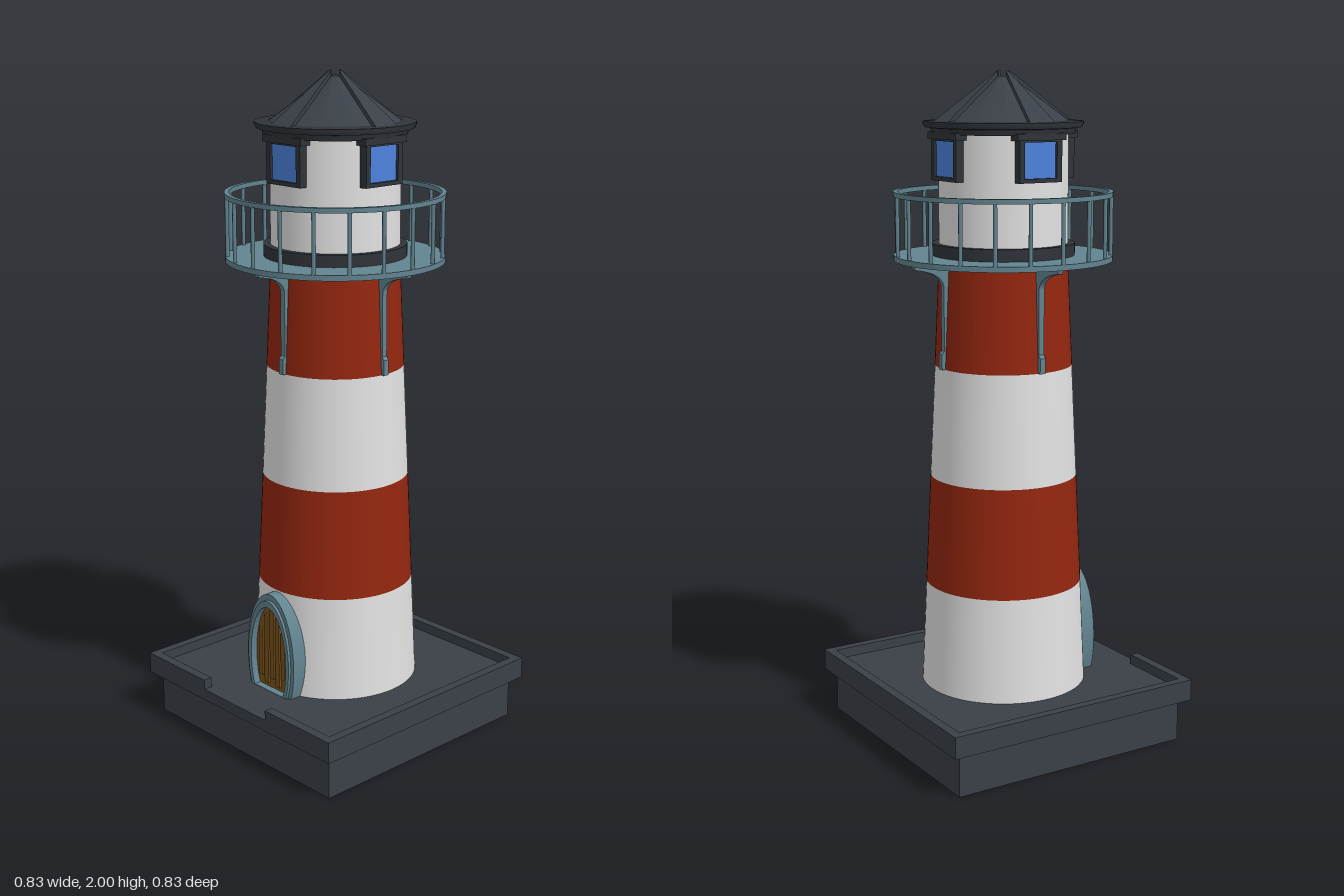
import * as THREE from 'three';
import { toCreasedNormals } from 'three/addons/utils/BufferGeometryUtils.js';

const SEG = 64;

function material(name, color) {
  const m = new THREE.MeshStandardMaterial({ color });
  m.name = name;
  return m;
}

export function createModel() {
  const model = new THREE.Group();
  model.name = 'lighthouse';
  const white = material('white', 0xe2e2e2);
  const red = material('red', 0x93260f);
  const teal = material('teal', 0x628490);
  const slate = material('slate', 0x3a4047);
  const charcoal = material('charcoal', 0x2f3439);
  const wood = material('wood', 0x7a521c);
  const glass = material('glass', 0x4c82dc);

  const add = (parent, name, geometry, mat, x = 0, y = 0, z = 0) => {
    const mesh = new THREE.Mesh(geometry, mat);
    mesh.name = name;
    mesh.position.set(x, y, z);
    parent.add(mesh);
    return mesh;
  };
  const group = (name) => {
    const g = new THREE.Group();
    g.name = name;
    model.add(g);
    return g;
  };
  // box given by its minimum and maximum corners
  const box = (parent, name, mat, x0, x1, y0, y1, z0, z1) =>
    add(parent, name, new THREE.BoxGeometry(x1 - x0, y1 - y0, z1 - z0), mat,
      (x0 + x1) / 2, (y0 + y1) / 2, (z0 + z1) / 2);
  // turned part from [radius, height] pairs
  const lathe = (parent, name, mat, profile) => {
    const g = new THREE.LatheGeometry(profile.map(([r, y]) => new THREE.Vector2(r, y)), SEG);
    return add(parent, name, toCreasedNormals(g, 0.5), mat);
  };
  const extrude = (shape, depth) =>
    new THREE.ExtrudeGeometry(shape, { depth, bevelEnabled: false, curveSegments: 20 });

  // Plinth with a low rim, open in front of the door
  const base = group('base');
  const B = 0.413, I = 0.385;
  box(base, 'plinth', slate, -I, I, 0, 0.13, -I, I);
  box(base, 'slab', slate, -B, B, 0.13, 0.165, -B, B);
  box(base, 'rimBack', slate, -B, B, 0.165, 0.195, -B, -I);
  for (const s of [-1, 1]) {
    box(base, 'rimSide', slate, Math.min(s * I, s * B), Math.max(s * I, s * B), 0.165, 0.195, -I, I);
    box(base, 'rimFront', slate, Math.min(s * 0.14, s * B), Math.max(s * 0.14, s * B), 0.165, 0.195, I, B);
  }

  // Tapered tower in four bands
  const tower = group('tower');
  const levels = [0.165, 0.48, 0.81, 1.145, 1.46];
  const radiusAt = (y) => 0.25 - (y - 0.165) * 0.0463;
  for (let i = 0; i < 4; i++) {
    const [a, b] = [levels[i], levels[i + 1]];
    add(tower, 'towerBand', new THREE.CylinderGeometry(radiusAt(b), radiusAt(a), b - a, SEG, 1, true),
      i % 2 ? red : white, 0, (a + b) / 2, 0);
  }

  // Arched door: two nested frames and raised planks
  const door = group('door');
  const arch = (rx, ry, Path = THREE.Shape) => {
    const cy = 0.265, a = Math.asin((cy - 0.165) / ry);
    const path = new Path();
    path.absellipse(0, cy, rx, ry, -a, Math.PI + a, false, 0);
    path.closePath();
    return path;
  };
  const frame = (name, outer, inner, z) => {
    const shape = arch(...outer);
    const points = inner && arch(...inner).getPoints(24);
    if (points) {
      // the opening reaches down to the floor
      points.forEach((p) => { p.y = Math.max(p.y, 0.166); });
      shape.holes.push(new THREE.Path(points));
    }
    return add(door, name, toCreasedNormals(extrude(shape, z - 0.2), 0.5), inner ? teal : wood, 0, 0, 0.2);
  };
  frame('outerDoorFrame', [0.105, 0.21], [0.091, 0.19], 0.268);
  frame('innerDoorFrame', [0.092, 0.191], [0.079, 0.17], 0.277);
  frame('doorPanel', [0.081, 0.172], null, 0.255);
  [[-0.05, 0.2, 0.35], [-0.025, 0.18, 0.4], [0, 0.2, 0.42], [0.025, 0.18, 0.4], [0.05, 0.21, 0.36]]
    .forEach(([x, y0, y1]) => box(door, 'doorPlank', wood, x - 0.009, x + 0.009, y0, y1, 0.25, 0.263));

  // Balcony floor, handrail and posts
  const balcony = group('balcony');
  lathe(balcony, 'balconyFloor', teal, [[0.18, 1.455], [0.322, 1.455], [0.322, 1.471], [0.18, 1.471]]);
  lathe(balcony, 'handrail', teal,
    [[0.308, 1.642], [0.322, 1.642], [0.322, 1.656], [0.308, 1.656], [0.308, 1.642]]);
  const post = new THREE.CylinderGeometry(0.006, 0.006, 0.18, 8);
  for (let i = 0; i < 20; i++) {
    const a = (i / 20) * Math.PI * 2;
    add(balcony, 'railPost', post, teal, Math.sin(a) * 0.315, 1.556, Math.cos(a) * 0.315);
  }

  // Lantern room
  const lantern = group('lanternRoom');
  add(lantern, 'lanternWall', new THREE.CylinderGeometry(0.19, 0.19, 0.38, SEG, 1, true), white, 0, 1.65, 0);
  lathe(lantern, 'lanternFoot', charcoal, [[0.18, 1.47], [0.21, 1.47], [0.21, 1.506], [0.188, 1.506]]);

  // Roof with eaves
  const roof = group('roof');
  lathe(roof, 'eaves', charcoal, [[0.17, 1.822], [0.208, 1.822], [0.212, 1.838], [0.228, 1.84],
    [0.233, 1.85], [0.233, 1.857], [0.19, 1.86]]);
  lathe(roof, 'roofCone', slate, [[0.195, 1.855], [0.02, 1.984], [0, 1.984]]);

  // Bracket outline: strip on the wall curving out under the balcony
  const bracketShape = new THREE.Shape();
  bracketShape.moveTo(0.19, 1.145);
  bracketShape.lineTo(0.215, 1.145);
  bracketShape.lineTo(0.215, 1.19);
  bracketShape.lineTo(0.207, 1.2);
  bracketShape.lineTo(0.207, 1.39);
  bracketShape.quadraticCurveTo(0.215, 1.43, 0.3, 1.442);
  bracketShape.lineTo(0.305, 1.456);
  bracketShape.lineTo(0.18, 1.456);
  const bracketGeo = extrude(bracketShape, 0.018);
  bracketGeo.translate(0, 0, -0.009);

  // Wedge-shaped roof ridge, narrowing towards the peak
  const ridgeGeo = new THREE.BoxGeometry(1, 1, 1);
  const p = ridgeGeo.attributes.position;
  for (let i = 0; i < p.count; i++) {
    const outer = p.getX(i) > 0, top = p.getY(i) > 0;
    p.setXYZ(i, outer ? 0.208 : 0.02, (outer ? 1.858 : 1.999) - (top ? 0 : 0.022),
      Math.sign(p.getZ(i)) * (outer ? 0.041 : 0.004));
  }
  ridgeGeo.computeVertexNormals();

  // Window surround
  const rect = (Path, w, y0, y1) => new Path([[-w, y0], [w, y0], [w, y1], [-w, y1]]
    .map(([x, y]) => new THREE.Vector2(x, y)));
  const surround = rect(THREE.Shape, 0.071, 1.69, 1.825);
  surround.holes.push(rect(THREE.Path, 0.054, 1.702, 1.803));
  const surroundGeo = extrude(surround, 0.035);

  // Parts repeated on the four sides
  for (let i = 0; i < 4; i++) {
    const side = new THREE.Group();
    side.name = 'sideFittings';
    side.rotation.y = (i * Math.PI) / 2;
    model.add(side);
    add(side, 'balconyBracket', bracketGeo, teal);
    add(side, 'roofRidge', ridgeGeo, slate);
    add(side, 'windowFrame', surroundGeo, charcoal, 0, 0, 0.166);
    box(side, 'windowLintel', charcoal, -0.081, 0.081, 1.808, 1.828, 0.165, 0.207);
    box(side, 'windowPane', glass, -0.055, 0.055, 1.7, 1.805, 0.185, 0.193);
  }
  return model;
}
